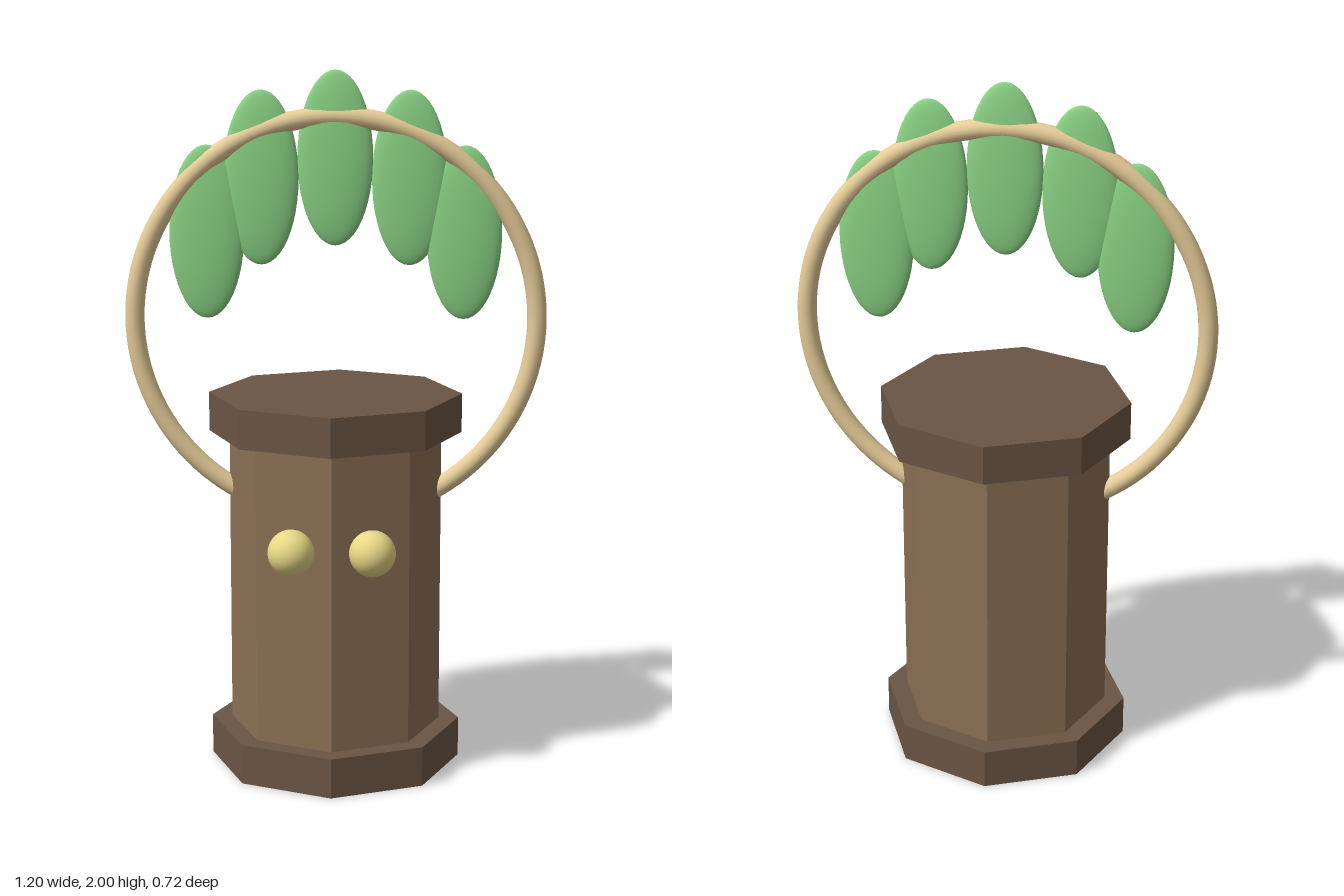
import * as THREE from 'three';

const mat = (color, flatShading = false) => new THREE.MeshStandardMaterial({ color, flatShading });

export function createModel() {
  const model = new THREE.Group();
  const wood = mat(0x8b7055, true);
  const darkWood = mat(0x6b5544, true);
  const vine = mat(0xe6cc98);
  const leafGreen = mat(0x8bd485);
  const eyeYellow = mat(0xe8d886);

  const add = (name, geometry, material, x, y, z) => {
    const mesh = new THREE.Mesh(geometry, material);
    mesh.name = name;
    mesh.position.set(x, y, z);
    model.add(mesh);
    return mesh;
  };

  // Octagonal trunk between two wider slabs, a corner facing the front
  const octagon = (name, radius, bottom, top, material) =>
    add(name, new THREE.CylinderGeometry(radius, radius, top - bottom, 8), material, 0, (bottom + top) / 2, 0);
  octagon('base', 0.362, 0, 0.115, darkWood);
  octagon('body', 0.304, 0.115, 0.975, wood);
  octagon('lid', 0.362, 0.975, 1.087, darkWood);

  // Hoop handle, its open ends buried in the side corners of the body
  const ringRadius = 0.571;
  const gap = Math.asin(0.26 / ringRadius);
  const arc = Math.PI * 2 - gap * 2;
  const handle = add('handle', new THREE.TorusGeometry(ringRadius, 0.0275, 16, 96, arc), vine, 0, 1.3, 0);
  handle.rotation.z = -Math.PI / 2 + gap;

  // Round eyes, partly sunk into the two front faces
  for (const side of [-1, 1]) {
    add(side > 0 ? 'leftEye' : 'rightEye', new THREE.SphereGeometry(0.065, 32, 20), eyeYellow, side * 0.113, 0.69, 0.287);
  }

  // Flat upright leaves threaded along the top of the handle
  const leafGeometry = new THREE.SphereGeometry(1, 32, 24).scale(0.106, 0.245, 0.026);
  for (const [x, y] of [[-0.363, 1.547], [-0.209, 1.7], [0, 1.755], [0.209, 1.7], [0.363, 1.547]]) {
    add('leaf', leafGeometry, leafGreen, x, y, 0);
  }

  return model;
}
